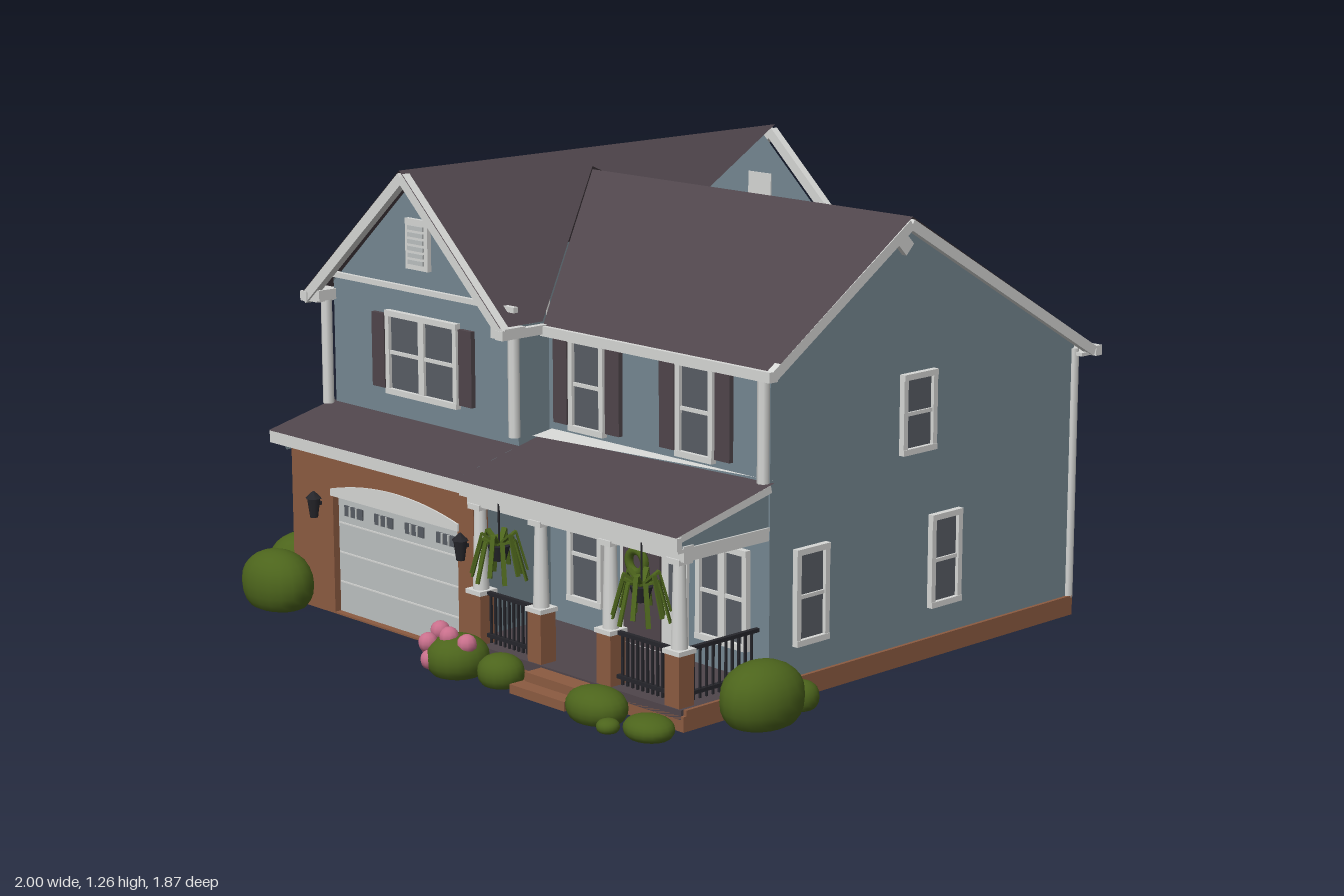
import * as THREE from 'three';

const mat = (name, color) => {
  const m = new THREE.MeshStandardMaterial({ color, side: THREE.DoubleSide });
  m.name = name;
  return m;
};

export function createModel() {
  const roofM = mat('roof shingle', 0x4f454b), siding = mat('blue siding', 0x758791);
  const brick = mat('brick', 0x8c5b41), trim = mat('white trim', 0xd6d7d5);
  const garageM = mat('garage door grey', 0xbcc0c0), glass = mat('window glass', 0x585d64);
  const leaf = mat('foliage', 0x4c641c), pink = mat('pink blossom', 0xc9708c), black = mat('black metal', 0x26262b);

  const house = new THREE.Group();
  house.name = 'house';
  const add = (name, geo, m, parent = house) => {
    const mesh = new THREE.Mesh(geo, m);
    mesh.name = name;
    parent.add(mesh);
    return mesh;
  };
  // box from min/max corners
  const box = (name, m, x0, x1, y0, y1, z0, z1, parent = house) => {
    const b = add(name, new THREE.BoxGeometry(x1 - x0, y1 - y0, z1 - z0), m, parent);
    b.position.set((x0 + x1) / 2, (y0 + y1) / 2, (z0 + z1) / 2);
    return b;
  };
  // flat convex panel through the given corners
  const panel = (name, m, pts) => {
    const p = [];
    for (let i = 1; i < pts.length - 1; i++) p.push(...pts[0], ...pts[i], ...pts[i + 1]);
    const g = new THREE.BufferGeometry();
    g.setAttribute('position', new THREE.Float32BufferAttribute(p, 3));
    g.computeVertexNormals();
    return add(name, g, m);
  };
  // straight board from a to b
  const beam = (name, m, a, b, w, h, parent = house) => {
    const A = new THREE.Vector3(...a), B = new THREE.Vector3(...b);
    const mesh = new THREE.Mesh(new THREE.BoxGeometry(w, h, A.distanceTo(B)), m);
    mesh.name = name;
    mesh.position.copy(A).lerp(B, 0.5);
    mesh.lookAt(B);
    parent.add(mesh);
    return mesh;
  };
  const cyl = (name, m, x, y, z, rt, rb, h, n = 12, parent = house) => {
    const c = add(name, new THREE.CylinderGeometry(rt, rb, h, n), m, parent);
    c.position.set(x, y, z);
    return c;
  };

  // --- walls ---
  panel('leftWingSideWall', siding, [[-.8, .05, -.75], [-.8, .05, .57], [-.8, .93, .57], [-.8, .93, -.75]]);
  panel('garageSideWall', siding, [[-.8, .05, .57], [-.8, .05, .7], [-.8, .5, .7], [-.8, .56, .57]]);
  panel('leftWingFrontWall', siding, [[-.41, 1.265, .57], [-.8, .92, .57], [-.8, .48, .57], [-.01, .48, .57], [-.01, .9, .57]]);
  panel('leftWingBackWall', siding, [[-.41, 1.265, -.75], [-.8, .92, -.75], [-.8, .05, -.75], [-.01, .05, -.75], [-.01, .9, -.75]]);
  panel('innerReturnWall', siding, [[-.01, .05, .46], [-.01, .05, .7], [-.01, .5, .7], [-.01, .57, .57], [-.01, .9, .57], [-.01, .9, .46]]);
  panel('backReturnWall', siding, [[-.01, .7, -.75], [-.01, .9, -.75], [-.01, .9, -.6], [-.01, .7, -.6]]);
  panel('rightWingFrontWall', siding, [[-.01, .05, .46], [.82, .05, .46], [.82, .9, .46], [-.01, .9, .46]]);
  panel('rightWingBackWall', siding, [[-.01, .05, -.73], [.82, .05, -.73], [.82, .81, -.73], [-.01, .81, -.73]]);
  panel('rightWingSideWall', siding, [[.82, 1.21, -.02], [.82, .9, .46], [.82, .05, .46], [.82, .05, -.73], [.82, .805, -.73]]);

  // --- brick foundation ---
  box('foundationRight', brick, .8, .83, .02, .075, -.74, .76);
  box('foundationLeft', brick, -.81, -.78, .02, .075, -.76, .7);
  box('foundationBackLeft', brick, -.81, -.01, .02, .075, -.76, -.73);
  box('foundationBackRight', brick, -.01, .83, .02, .075, -.74, -.71);
  box('foundationPorch', brick, -.01, .83, .02, .06, .74, .77);

  // --- roofs ---
  const yR = x => 1.28 - (x + .41) * .92;
  const R = (x, z) => [x, yR(x), z];
  panel('leftRoofSlope', roofM, [[-.41, 1.28, -.81], [-.86, .885, -.81], [-.86, .885, .64], [-.41, 1.28, .64]]);
  panel('innerRoofFront', roofM, [R(-.41, .64), R(0, .64), R(0, .49), R(-.36, -.02), R(-.41, -.02)]);
  panel('innerRoofMiddle', roofM, [R(-.41, -.02), R(-.36, -.02), R(-.22, -.23), R(-.24, -.32), R(-.41, -.81)]);
  panel('innerRoofValley', roofM, [R(-.22, -.23), R(0, -.6), R(0, -.79), R(-.24, -.32)]);
  panel('rightRoofFront', roofM, [[-.36, 1.225, -.02], [0, .89, .49], [.855, .89, .49], [.855, 1.225, -.02]]);
  panel('rightRoofBack', roofM, [[.855, 1.225, -.02], [-.36, 1.225, -.02], [0, .89, -.6], [0, .78, -.79], [.855, .78, -.79]]);
  panel('porchRoofLeft', roofM, [[-.82, .52, .795], [-.01, .52, .795], [-.01, .575, .565], [-.82, .575, .565]]);
  panel('porchRoofRight', roofM, [[-.01, .52, .795], [.83, .52, .795], [.83, .6, .455], [-.01, .59, .5]]);
  panel('porchFlashing', trim, [[0, .597, .53], [0, .607, .455], [.83, .607, .455]]);
  for (const x of [-.8, .815]) {
    const zi = x < 0 ? .57 : .46, yi = x < 0 ? .57 : .595;
    panel('porchRoofEnd', siding, [[x, .46, zi], [x, .46, .75], [x, .515, .78], [x, yi, zi]]);
    beam('porchRake', trim, [x, .51, .79], [x, yi - .01, zi], .02, .02);
  }
  box('porchFascia', trim, -.82, .83, .485, .518, .775, .792);
  box('porchCeiling', trim, -.01, .82, .475, .485, .46, .78);

  // rake boards, eaves and gutters
  for (const z of [.625, -.795]) {
    beam('gableRakeLeft', trim, [-.41, 1.26, z], [-.855, .87, z], .025, .03);
    beam('gableRakeRight', trim, [-.41, 1.26, z], [0, .885, z], .025, .03);
  }
  for (const [z, y] of [[.48, .88], [-.78, .77]]) beam('sideRake', trim, [.845, 1.205, -.02], [.845, y, z], .02, .028);
  box('leftGutter', trim, -.865, -.835, .865, .893, -.81, .64);
  box('leftSoffit', trim, -.86, -.8, .865, .875, -.8, .63);
  box('innerGutter', trim, -.02, .01, .87, .895, .48, .64);
  box('frontGutter', trim, 0, .855, .865, .892, .47, .5);
  box('backGutter', trim, 0, .855, .755, .783, -.81, -.785);
  box('backSoffit', trim, 0, .85, .76, .77, -.79, -.73);
  for (const z of [.575, -.755]) box('gableBand', trim, -.8, -.01, .935, .95, z - .008, z + .008);
  for (const x of [-.82, -.02]) box('gableReturn', trim, x - .03, x + .03, .87, .9, .56, .63);
  const peak = box('sidePeakBlock', trim, .82, .835, 1.13, 1.17, -.04, 0);
  peak.rotation.x = Math.PI / 4;
  // downspouts and corner boards
  for (const [x, y0, y1, z] of [[-.81, .57, .88, .59], [-.01, .6, .88, .585], [.81, .6, .88, .475],
    [.815, .07, .78, -.735], [-.805, .07, .88, -.755], [-.005, .07, .85, -.755], [-.805, .05, .5, .68]])
    cyl('downspout', trim, x, (y0 + y1) / 2, z, .016, .016, y1 - y0, 8);

  // --- windows; rotY turns them to the wall they sit on ---
  const window_ = (x, y, z, rotY, w, h, shutters = false, double = false) => {
    const g = new THREE.Group();
    g.name = 'window';
    g.position.set(x, y, z);
    g.rotation.y = rotY;
    const f = .016, W = w / 2, H = h / 2;
    box('glass', glass, -W, W, -H, H, -.002, .004, g);
    for (const s of [-1, 1]) {
      box('frameSide', trim, s * W - f / 2, s * W + f / 2, -H, H, -.004, .014, g);
      box('frameRail', trim, -W - f / 2, W + f / 2, s * H - f / 2, s * H + f / 2, -.004, .016, g);
    }
    box('sashBar', trim, -W, W, -.005, .005, 0, .01, g);
    if (double) box('mullion', trim, -.012, .012, -H, H, 0, .012, g);
    if (shutters) for (const s of [-1, 1]) {
      const c = s * (W + .042);
      box('shutter', roofM, c - .027, c + .027, -H + .005, H - .005, -.002, .012, g);
    }
    house.add(g);
  };
  const back = Math.PI, right = Math.PI / 2, left = -Math.PI / 2;
  window_(-.4, .755, .572, 0, .29, .22, true, true);
  window_(.15, .745, .462, 0, .12, .24, true);
  window_(.56, .745, .462, 0, .12, .24, true);
  window_(.14, .28, .462, 0, .12, .25);
  window_(.66, .28, .462, 0, .17, .25, false, true);
  window_(.822, .7, -.085, right, .115, .2);
  window_(.822, .285, .315, right, .105, .24);
  window_(.822, .285, -.2, right, .105, .24);
  window_(-.802, .7, -.52, left, .1, .19);
  window_(-.802, .7, -.2, left, .07, .12);
  window_(-.802, .28, -.5, left, .1, .24);
  window_(-.802, .28, 0, left, .1, .24);
  window_(-.42, .7, -.752, back, .12, .22);
  window_(-.18, .33, -.752, back, .05, .24);
  window_(-.6, .33, -.752, back, .05, .24);
  window_(.2, .62, -.732, back, .12, .2);
  window_(.57, .62, -.732, back, .12, .2);
  // louvred gable vents
  for (const [z, s] of [[.575, 1], [-.755, -1]]) {
    box('gableVent', trim, -.46, -.365, 1, 1.14, z - .008, z + .008);
    for (let i = 0; i < 6; i++) box('louvre', garageM, -.445, -.38, 1.015 + i * .019, 1.027 + i * .019, z + s * .01 - .003, z + s * .01 + .003);
  }

  // --- garage front with arched opening ---
  const wall = new THREE.Shape([[-.79, .02], [0, .02], [0, .49], [-.79, .49]].map(p => new THREE.Vector2(...p)));
  const arch = (x0, x1, y0, y1, rise) => {
    const s = new THREE.Path();
    s.moveTo(x0, y0).lineTo(x1, y0).lineTo(x1, y1).quadraticCurveTo((x0 + x1) / 2, y1 + rise * 2, x0, y1);
    return s;
  };
  wall.holes.push(arch(-.605, -.065, .025, .37, .035));
  add('garageBrickFront', new THREE.ExtrudeGeometry(wall, { depth: .05, bevelEnabled: false }), brick).position.z = .69;
  const archTrim = new THREE.Shape(arch(-.61, -.06, .36, .38, .035).getPoints(16));
  add('garageArch', new THREE.ExtrudeGeometry(archTrim, { depth: .03, bevelEnabled: false }), trim).position.z = .715;
  box('garageDoor', garageM, -.605, -.065, .025, .37, .7, .72);
  for (let i = 0; i < 4; i++) {
    const x = -.535 + i * .133;
    box('garageWindow', glass, x - .04, x + .04, .305, .335, .718, .724);
    for (const dx of [-.014, .014]) box('garageMuntin', garageM, x + dx - .003, x + dx + .003, .305, .335, .72, .727);
  }
  for (let i = 1; i < 4; i++) box('garageDoorSeam', trim, -.6, -.07, .025 + i * .085, .029 + i * .085, .718, .723);
  for (const x of [-.66, -.025]) {
    cyl('lantern', black, x, .32, .765, .02, .012, .055, 6);
    cyl('lanternCap', black, x, .357, .765, .003, .024, .02, 6);
    box('lanternBracket', black, x - .005, x + .005, .325, .335, .735, .765);
  }

  // --- porch ---
  box('porchFloor', roofM, -.01, .82, .05, .075, .46, .77);
  box('porchBeam', trim, 0, .82, .45, .49, .725, .76);
  box('porchSideBeam', trim, .79, .818, .45, .48, .46, .75);
  for (const x of [.03, .27, .535, .785]) {
    box('postBase', brick, x - .026, x + .026, .03, .21, .715, .767);
    box('postBaseCap', trim, x - .03, x + .03, .21, .222, .711, .771);
    cyl('column', trim, x, .335, .741, .016, .022, .23);
    box('columnCapital', trim, x - .024, x + .024, .44, .455, .717, .765);
  }
  const railing = (a, b) => {
    for (const y of [.1, .215]) beam('rail', black, [a[0], y, a[1]], [b[0], y, b[1]], .012, .01);
    for (let i = 1; i < 11; i++) {
      const t = i / 11, x = a[0] + (b[0] - a[0]) * t, z = a[1] + (b[1] - a[1]) * t;
      box('baluster', black, x - .003, x + .003, .08, .215, z - .003, z + .003);
    }
  };
  railing([.05, .74], [.25, .74]);
  railing([.56, .74], [.76, .74]);
  railing([.79, .47], [.79, .72]);
  for (let i = 0; i < 2; i++) box('step', brick, .29 + i * .01, .5 - i * .01, .02, .045 + i * .025, .76, .87 - i * .045);
  // front door, sidelight and wreath
  box('doorFrame', trim, .275, .53, .075, .45, .458, .468);
  box('frontDoor', roofM, .295, .435, .08, .42, .462, .475);
  box('sidelight', glass, .465, .505, .2, .41, .465, .472);
  const wreath = add('wreath', new THREE.TorusGeometry(.03, .012, 8, 20), leaf);
  wreath.position.set(.355, .31, .482);
  // hanging ferns
  for (const x of [.15, .69]) {
    const g = new THREE.Group();
    g.name = 'hangingFern';
    g.position.set(x, .36, .78);
    cyl('hook', black, 0, .07, 0, .003, .003, .12, 5, g);
    cyl('basket', black, 0, -.01, 0, .03, .018, .04, 10, g);
    for (let i = 0; i < 12; i++) {
      const a = i * Math.PI / 6, c = Math.cos(a), s = Math.sin(a), d = i % 2 ? .02 : 0;
      beam('frond', leaf, [0, .01, 0], [c * .045, .045 - d, s * .045], .014, .006, g);
      beam('frondTip', leaf, [c * .045, .045 - d, s * .045], [c * .075, -.06 - d, s * .075], .012, .005, g);
    }
    house.add(g);
  }

  // --- garden: [x, z, radiusX, radiusZ, height] ---
  const bushes = [[-.92, .4, .075, .1, .165], [-.9, .62, .1, .11, .165], [-.79, .8, .12, .09, .165], [.06, .85, .085, .085, .11],
    [.21, .83, .065, .06, .085], [.6, .85, .09, .07, .09], [.685, .89, .03, .03, .035], [.79, .85, .07, .06, .06],
    [.905, .57, .095, .12, .165], [.885, .41, .045, .05, .075], [-.19, -.855, .055, .05, .1], [-.03, -.845, .1, .092, .145]];
  for (const [x, z, rx, rz, h] of bushes) {
    const g = new THREE.SphereGeometry(1, 18, 14), p = g.attributes.position;
    // squarer than a ball, with a flattened base
    for (let i = 0; i < p.count; i++) p.setY(i, Math.max(-.75, Math.sign(p.getY(i)) * Math.abs(p.getY(i)) ** .85));
    const b = add('bush', g, leaf);
    b.scale.set(rx, h / 1.75, rz);
    b.position.set(x, .015 + .75 * h / 1.75, z);
  }
  for (const [x, y, z] of [[-.03, .08, .87], [0, .1, .9], [.05, .12, .87], [.11, .11, .86], [-.01, .12, .85], [.02, .06, .91], [-.04, .06, .85]])
    add('blossom', new THREE.SphereGeometry(.027, 10, 8), pink).position.set(x, y, z);
  add('gardenStone', new THREE.SphereGeometry(.028, 10, 8), garageM).position.set(-.965, .045, .29);
  return house;
}
